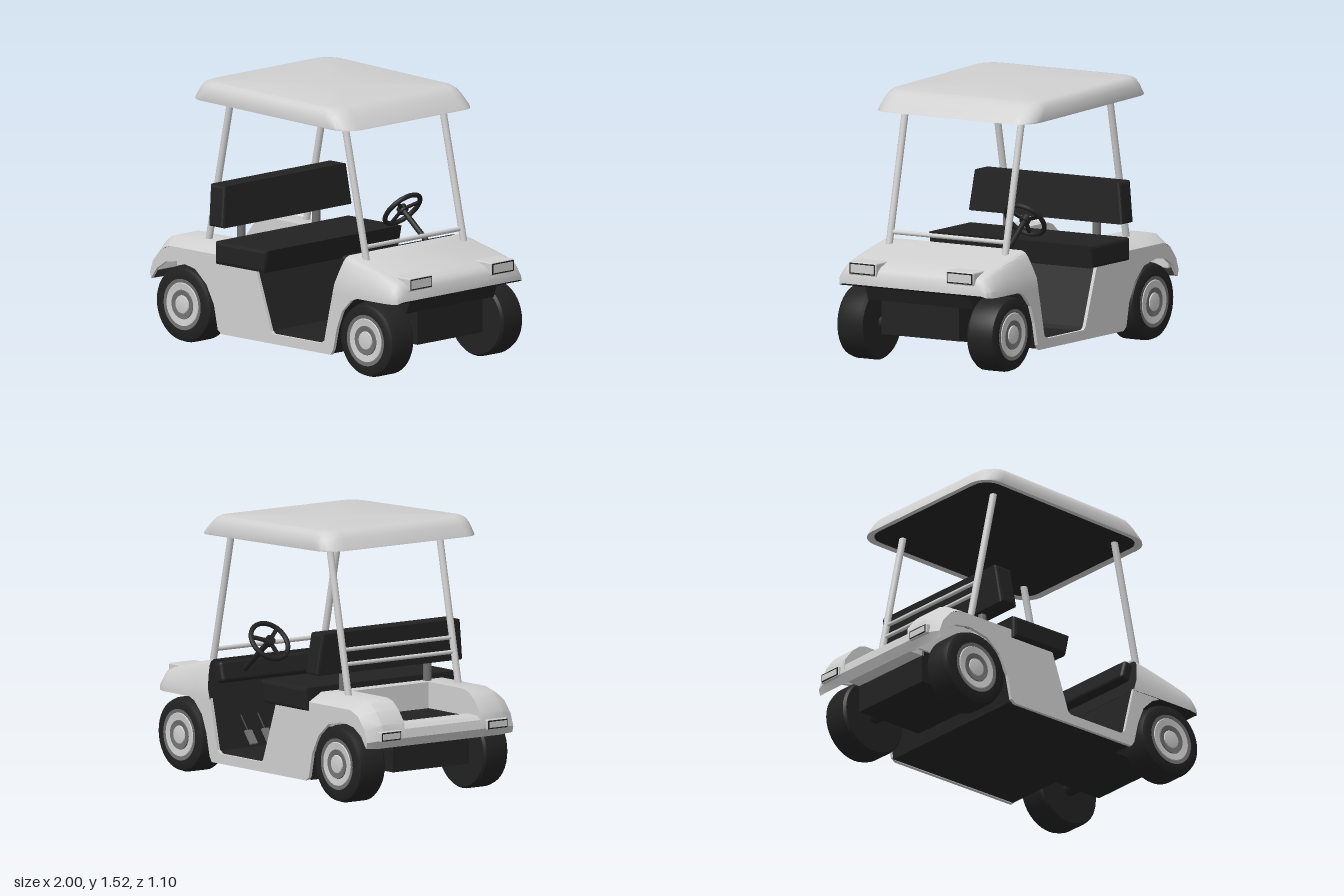
import * as THREE from 'three';
import { toCreasedNormals } from 'three/addons/utils/BufferGeometryUtils.js';
import { RoundedBoxGeometry } from 'three/addons/geometries/RoundedBoxGeometry.js';

const mat = (name, color) => Object.assign(new THREE.MeshStandardMaterial({ color }), { name });
const V = (x, y, z) => new THREE.Vector3(x, y, z);

// Surface through rows of points; it faces (row direction x column direction)
function grid(rows, flip = false) {
  const n = rows[0].length, index = [];
  for (let i = 0; i < rows.length - 1; i++) for (let j = 0; j < n - 1; j++) {
    const a = i * n + j, b = a + 1, d = a + n, c = d + 1;
    index.push(...(flip ? [a, b, d, b, c, d] : [a, d, b, b, d, c]));
  }
  const g = new THREE.BufferGeometry().setFromPoints(rows.flat());
  g.setIndex(index);
  return toCreasedNormals(g, 0.6);
}

// Side outline (x, y) extruded from z0 to z1
function slab(points, z0, z1, bevel = 0) {
  const shape = new THREE.Shape(points.map(p => new THREE.Vector2(...p)));
  const g = new THREE.ExtrudeGeometry(shape, {
    depth: z1 - z0 - 2 * bevel, bevelEnabled: bevel > 0, bevelSize: bevel,
    bevelThickness: bevel, bevelOffset: -bevel, bevelSegments: 2 });
  return g.translate(0, 0, z0 + bevel);
}

export function createModel() {
  const cart = new THREE.Group();
  cart.name = 'golfCart';
  const paint = mat('lightGreyPaint', 0xd0d0d0);
  const black = mat('blackTrim', 0x222222);
  const grey = mat('midGrey', 0x707070);

  const add = (name, g, m, x = 0, y = 0, z = 0, parent = cart) => {
    const mesh = new THREE.Mesh(g, m);
    mesh.name = name;
    mesh.position.set(x, y, z);
    parent.add(mesh);
    return mesh;
  };
  const box = (name, m, x0, x1, y0, y1, z0, z1) =>
    add(name, new THREE.BoxGeometry(x1 - x0, y1 - y0, z1 - z0), m, (x0 + x1) / 2, (y0 + y1) / 2, (z0 + z1) / 2);
  const rod = (name, a, b, r, m) => {
    const d = b.clone().sub(a);
    const mesh = add(name, new THREE.CylinderGeometry(r, r, d.length(), 14), m);
    mesh.position.copy(a).addScaledVector(d, 0.5);
    mesh.quaternion.setFromUnitVectors(V(0, 1, 0), d.normalize());
    return mesh;
  };

  // Dark tub: floor, seat base and inner cowl
  add('tub', slab([[-0.42, 0.095], [0.47, 0.095], [0.5, 0.2], [0.56, 0.36], [0.6, 0.45], [0.49, 0.45],
    [0.42, 0.16], [0.39, 0.14], [0.02, 0.14], [-0.005, 0.16], [-0.125, 0.5], [-0.5, 0.5], [-0.44, 0.27]], -0.5, 0.5), black);

  // Painted body sides with wheel arches and door opening
  const side = [[-0.42, 0.11], [-0.39, 0.09], [0.47, 0.09], [0.49, 0.12], [0.52, 0.25], [0.56, 0.35], [0.63, 0.42],
    [0.7, 0.45], [0.487, 0.45], [0.46, 0.34], [0.42, 0.165], [0.39, 0.146], [0.02, 0.146], [0, 0.16], [-0.12, 0.5],
    [-0.41, 0.5], [-0.41, 0.54], [-0.8, 0.54], [-0.87, 0.51], [-0.93, 0.44], [-0.955, 0.37], [-0.945, 0.335],
    [-0.9, 0.4], [-0.83, 0.445], [-0.73, 0.462], [-0.6, 0.435], [-0.51, 0.36], [-0.45, 0.25]];
  // Rear fender top line and the lower line of its chamfer
  const crest = [[-0.4, 0.59], [-0.6, 0.59], [-0.82, 0.59], [-0.87, 0.575], [-0.92, 0.535], [-0.975, 0.465], [-0.985, 0.38], [-0.955, 0.33]];
  const edge = [[-0.4, 0.54], [-0.6, 0.54], [-0.8, 0.54], [-0.835, 0.527], [-0.87, 0.51], [-0.93, 0.44], [-0.955, 0.37], [-0.945, 0.335]];
  for (const s of [1, -1]) {
    const label = s > 0 ? 'left' : 'right';
    add(label + 'BodySide', slab(side, s > 0 ? 0.5 : -0.52, s > 0 ? 0.52 : -0.5), paint);
    const rows = crest.map(([x, y], i) => [V(x, y, s * 0.27), V(x, y, s * 0.43), V(edge[i][0], edge[i][1], s * 0.52)]);
    add(label + 'RearFender', grid(rows, s < 0), paint);
    add(label + 'FenderLiner', grid(rows, s > 0), black);
    add(label + 'WellWall', slab([...crest, [-0.9, 0.36], [-0.41, 0.36]], s > 0 ? 0.27 : -0.285, s > 0 ? 0.285 : -0.27), paint);
  }

  // Rear deck, bag well and tail
  box('rearDeck', paint, -0.5, -0.4, 0.4, 0.589, -0.43, 0.43);
  box('bagWellFloor', black, -0.87, -0.42, 0.17, 0.44, -0.27, 0.27);
  add('tailLip', slab([[-0.955, 0.33], [-0.86, 0.33], [-0.86, 0.455], [-0.95, 0.45], [-0.975, 0.43], [-0.985, 0.38]], -0.27, 0.27), paint);

  // Hood: cross-sections from cowl to nose [bottom x, top x, bottom y, top y, half width]
  const hood = [[0.485, 0.545, 0.44, 0.66, 0.522], [0.62, 0.62, 0.44, 0.643, 0.524], [0.8, 0.8, 0.44, 0.6, 0.524],
    [0.9, 0.9, 0.44, 0.573, 0.522], [0.95, 0.945, 0.44, 0.557, 0.512], [0.976, 0.97, 0.442, 0.54, 0.495],
    [0.987, 0.985, 0.452, 0.515, 0.465]].map(([xb, xt, yb, yt, w]) => {
    const half = [[0, 0], [0, 0.3], [0.02, 0.62], [0.038, 0.85], [0.052, 0.95], [0.075, 1]].map(([dz, t]) =>
      V(xb + (xt - xb) * t, yb + (yt - yb) * t, w - dz));
    return [...half, ...half.slice().reverse().map(p => V(p.x, p.y, -p.z))];
  });
  const fan = p => hood[0].map(() => p.clone());
  add('hood', grid([...hood, fan(V(0.987, 0.452, 0))]), paint);
  add('hoodBack', grid([fan(V(0.485, 0.44, 0)), hood[0]]), black);
  add('hoodUnderside', grid(hood.map(r => [r[r.length - 1], r[0]])), black);
  box('frontChassis', black, 0.5, 0.9, 0.17, 0.445, -0.26, 0.26);
  add('frontWheelLiner', slab([[0.5, 0.36], [0.9, 0.36], [0.93, 0.442], [0.5, 0.442]], -0.35, 0.35), black);

  // Dashboard, pedals
  const dash = add('dashboard', new RoundedBoxGeometry(0.075, 0.12, 0.9, 2, 0.02), black, 0.505, 0.588, 0);
  dash.rotation.z = -0.25;
  for (const z of [-0.2, -0.32]) {
    rod('pedalArm', V(0.35, 0.2, z), V(0.46, 0.34, z), 0.007, black);
    const pad = add('pedalPad', new THREE.BoxGeometry(0.012, 0.09, 0.05), grey, 0.368, 0.225, z);
    pad.rotation.z = -0.67;
  }

  // Steering wheel and column
  const wheelPos = V(0.25, 0.782, -0.28);
  rod('steeringColumn', wheelPos, V(0.51, 0.57, -0.28), 0.016, black);
  const steering = new THREE.Group();
  steering.name = 'steeringWheel';
  steering.position.copy(wheelPos);
  steering.quaternion.setFromUnitVectors(V(0, 0, 1), V(-0.77, 0.635, 0).normalize());
  cart.add(steering);
  add('steeringRim', new THREE.TorusGeometry(0.118, 0.014, 10, 32), black, 0, 0, 0, steering);
  add('steeringHub', new THREE.CylinderGeometry(0.03, 0.03, 0.035, 16).rotateX(Math.PI / 2), black, 0, 0, 0, steering);
  for (let i = 0; i < 3; i++) {
    const a = i * Math.PI * 2 / 3;
    add('steeringSpoke', new THREE.BoxGeometry(0.11, 0.022, 0.012), black,
      Math.cos(a) * 0.06, Math.sin(a) * 0.06, 0, steering).rotation.z = a;
  }

  // Bench seat and backrest
  add('seatCushion', slab([[-0.42, 0.49], [-0.035, 0.49], [-0.008, 0.62], [-0.42, 0.62]], -0.545, 0.545, 0.018), black);
  const back = slab([[-0.495, 0.695], [-0.38, 0.695], [-0.395, 0.93], [-0.512, 0.93]], -0.52, 0.52, 0.015);
  const bp = back.attributes.position;
  for (let i = 0; i < bp.count; i++) bp.setZ(i, bp.getZ(i) * (1 - 0.26 * (bp.getY(i) - 0.695)));
  back.computeVertexNormals();
  add('seatBack', back, black);

  // Roof posts, cross bars, backrest supports
  for (const z of [-0.39, 0.39]) {
    rod('frontPost', V(0.63, 0.61, z), V(0.45, 1.41, z), 0.02, paint);
    rod('rearPost', V(-0.62, 0.57, z), V(-0.44, 1.43, z), 0.02, paint);
    rod('backrestSupport', V(-0.45, 0.57, z * 0.77), V(-0.45, 0.75, z * 0.77), 0.024, grey);
  }
  rod('frontBar', V(0.605, 0.705, -0.39), V(0.605, 0.705, 0.39), 0.013, paint);
  for (const [x, y] of [[-0.58, 0.76], [-0.563, 0.84]]) rod('rearBar', V(x, y, -0.39), V(x, y, 0.39), 0.012, paint);

  // Roof: rounded rectangles stacked along a gentle forward slope
  const ring = (x0, x1, w, h, r) => {
    const pts = [];
    [[x1 - r, w - r], [x0 + r, w - r], [x0 + r, r - w], [x1 - r, r - w]].forEach(([cx, cz], q) => {
      for (let k = 0; k <= 5; k++) {
        const a = (q + k / 5) * Math.PI / 2, x = cx + r * Math.cos(a);
        pts.push(V(x, 1.397 - 0.029 * x + h, (cz + r * Math.sin(a)) * (1 - 0.025 * x)));
      }
    });
    return [...pts, pts[0].clone()];
  };
  const inner = ring(-0.605, 0.565, 0.505, 0.004, 0.1);
  const hub = h => inner.map(() => V(0, 1.397 + h, 0));
  add('roof', grid([inner, ring(-0.64, 0.605, 0.54, 0, 0.12), ring(-0.637, 0.6, 0.542, 0.008, 0.12),
    ring(-0.605, 0.545, 0.533, 0.065, 0.12), ring(-0.585, 0.515, 0.52, 0.092, 0.11),
    ring(-0.555, 0.485, 0.502, 0.107, 0.1), ring(-0.52, 0.455, 0.48, 0.112, 0.09), hub(0.112)]), paint);
  add('roofLining', grid([hub(0.004), inner]), black);

  // Headlights and rear lights
  for (const s of [-1, 1]) {
    const lamp = (name, x0, x1, y0, y1, zc, w, dir) => {
      const y = (y0 + y1) / 2, h = y1 - y0, x = dir > 0 ? x1 : x0;
      add(name + 'Housing', new RoundedBoxGeometry(x1 - x0, h, w, 2, 0.008), paint, (x0 + x1) / 2, y, zc);
      add(name + 'Frame', new THREE.BoxGeometry(0.004, h - 0.012, w - 0.014), black, x, y, zc);
      add(name + 'Lens', new THREE.BoxGeometry(0.004, h - 0.026, w - 0.028), paint, x + dir * 0.002, y, zc);
    };
    lamp('headlight', 0.86, 0.995, 0.508, 0.582, s * 0.327, 0.185, 1);
    lamp('rearLight', -0.995, -0.95, 0.37, 0.43, s * 0.378, 0.15, -1);
  }

  // Wheels: tyre, rim rings and axles
  const P = list => list.map(p => new THREE.Vector2(...p));
  for (const [end, x, r] of [['rear', -0.69, 0.22], ['front', 0.755, 0.212]]) {
    rod(end + 'Axle', V(x, r, -0.4), V(x, r, 0.4), 0.04, black);
    for (const s of [1, -1]) {
      const wheel = new THREE.Group();
      wheel.name = end + (s > 0 ? 'Left' : 'Right') + 'Wheel';
      wheel.position.set(x, r, s * 0.44);
      cart.add(wheel);
      const part = (name, pts, m) => add(name, toCreasedNormals(
        new THREE.LatheGeometry(P(pts), 40).rotateX(s * Math.PI / 2), 0.6), m, 0, 0, 0, wheel);
      part('tyre', [[0, -0.09], [r - 0.012, -0.09], [r, -0.075], [r, 0.05], [r - 0.01, 0.08], [r - 0.03, 0.09], [0.146, 0.09], [0.14, 0.07]], black);
      part('rimEdge', [[0.148, 0.08], [0.146, 0.091], [0.125, 0.088], [0.12, 0.07]], grey);
      part('rimDisc', [[0.128, 0.085], [0.122, 0.092], [0.08, 0.087]], paint);
      part('rimRing', [[0.085, 0.085], [0.082, 0.093], [0.052, 0.088]], grey);
      part('hubCap', [[0.054, 0.085], [0.05, 0.094], [0.03, 0.097], [0, 0.097]], paint);
    }
  }
  return cart;
}
